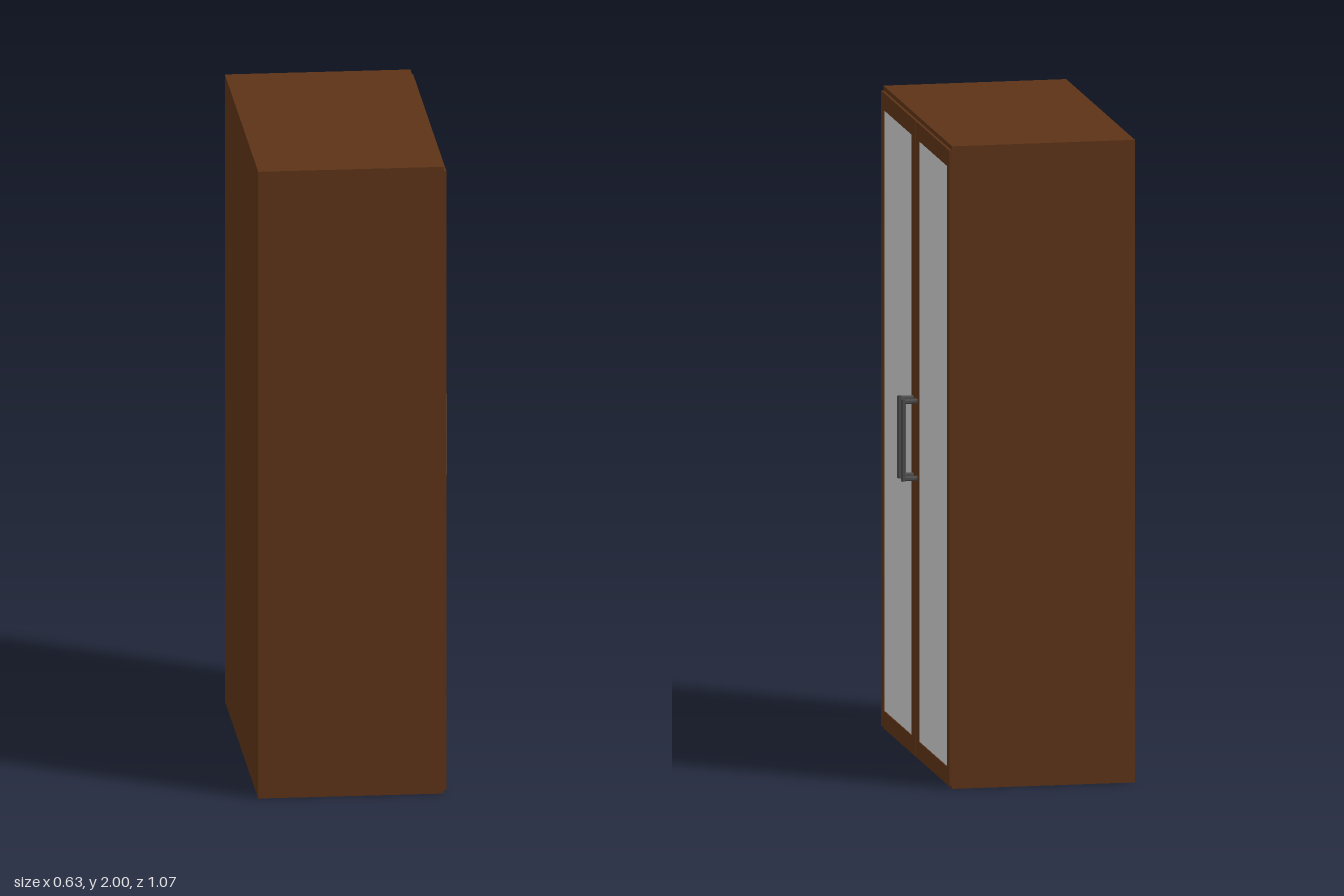
import * as THREE from 'three';

const wood = new THREE.MeshStandardMaterial({ color: 0x5c3317 });
const pane = new THREE.MeshStandardMaterial({ color: 0xcccccc });
const metal = new THREE.MeshStandardMaterial({ color: 0x4c4c4c, flatShading: true });

// Box given by its minimum and maximum corners
function block(name, min, max, material) {
  const size = max.map((v, i) => v - min[i]);
  const mesh = new THREE.Mesh(new THREE.BoxGeometry(...size), material);
  mesh.position.set(...max.map((v, i) => (v + min[i]) / 2));
  mesh.name = name;
  return mesh;
}

// Octagonal rod between two points
function rod(name, from, to, radius) {
  const a = new THREE.Vector3(...from), b = new THREE.Vector3(...to);
  const dir = b.clone().sub(a);
  const geometry = new THREE.CylinderGeometry(radius, radius, dir.length(), 8);
  geometry.rotateY(Math.PI / 8);
  const mesh = new THREE.Mesh(geometry, metal);
  mesh.position.copy(a).add(b).multiplyScalar(0.5);
  mesh.quaternion.setFromUnitVectors(new THREE.Vector3(0, 1, 0), dir.normalize());
  mesh.name = name;
  return mesh;
}

const back = -0.315, face = 0.256, front = 0.264, halfWidth = 0.534, board = 0.025;

// Hollow carcass, open towards +x
function createCarcass() {
  const group = new THREE.Group();
  group.name = 'carcass';
  const w = halfWidth, t = board;
  group.add(
    block('bottomPanel', [back, 0, -w], [face, t, w], wood),
    block('topPanel', [back, 2 - t, -w], [face, 2, w], wood),
    block('backPanel', [back, t, -w + t], [back + t, 2 - t, w - t], wood),
    block('leftSidePanel', [back, t, w - t], [face, 2 - t, w], wood),
    block('rightSidePanel', [back, t, -w], [face, 2 - t, -w + t], wood),
  );
  return group;
}

// Framed door with its pane and bar handle; side is the sign of z
function createDoor(side) {
  const group = new THREE.Group();
  group.name = side > 0 ? 'doorA' : 'doorB';
  const part = (name, x0, x1, y0, y1, z0, z1, material) => group.add(block(name,
    [x0, y0, Math.min(side * z0, side * z1)],
    [x1, y1, Math.max(side * z0, side * z1)], material));

  part('outerStile', face, front, 0.01, 1.986, 0.494, 0.531, wood);
  part('innerStile', face, front, 0.01, 1.986, 0.003, 0.055, wood);
  part('topRail', face, front, 1.932, 1.986, 0.055, 0.494, wood);
  part('bottomRail', face, front, 0.01, 0.062, 0.055, 0.494, wood);
  part('pane', face, front - 0.003, 0.062, 1.932, 0.055, 0.494, pane);

  // Handle: upright grip on two short posts
  const handle = new THREE.Group();
  handle.name = 'handle';
  const z = side * 0.03, r = 0.008, grip = 0.315 - r;
  handle.add(rod('grip', [grip, 0.87, z], [grip, 1.126, z], r));
  for (const y of [0.87 + r, 1.126 - r]) {
    handle.add(rod('post', [front - 0.003, y, z], [grip, y, z], r));
  }
  group.add(handle);
  return group;
}

export function createModel() {
  const model = new THREE.Group();
  model.name = 'cabinet';
  model.add(createCarcass(), createDoor(1), createDoor(-1));
  return model;
}
